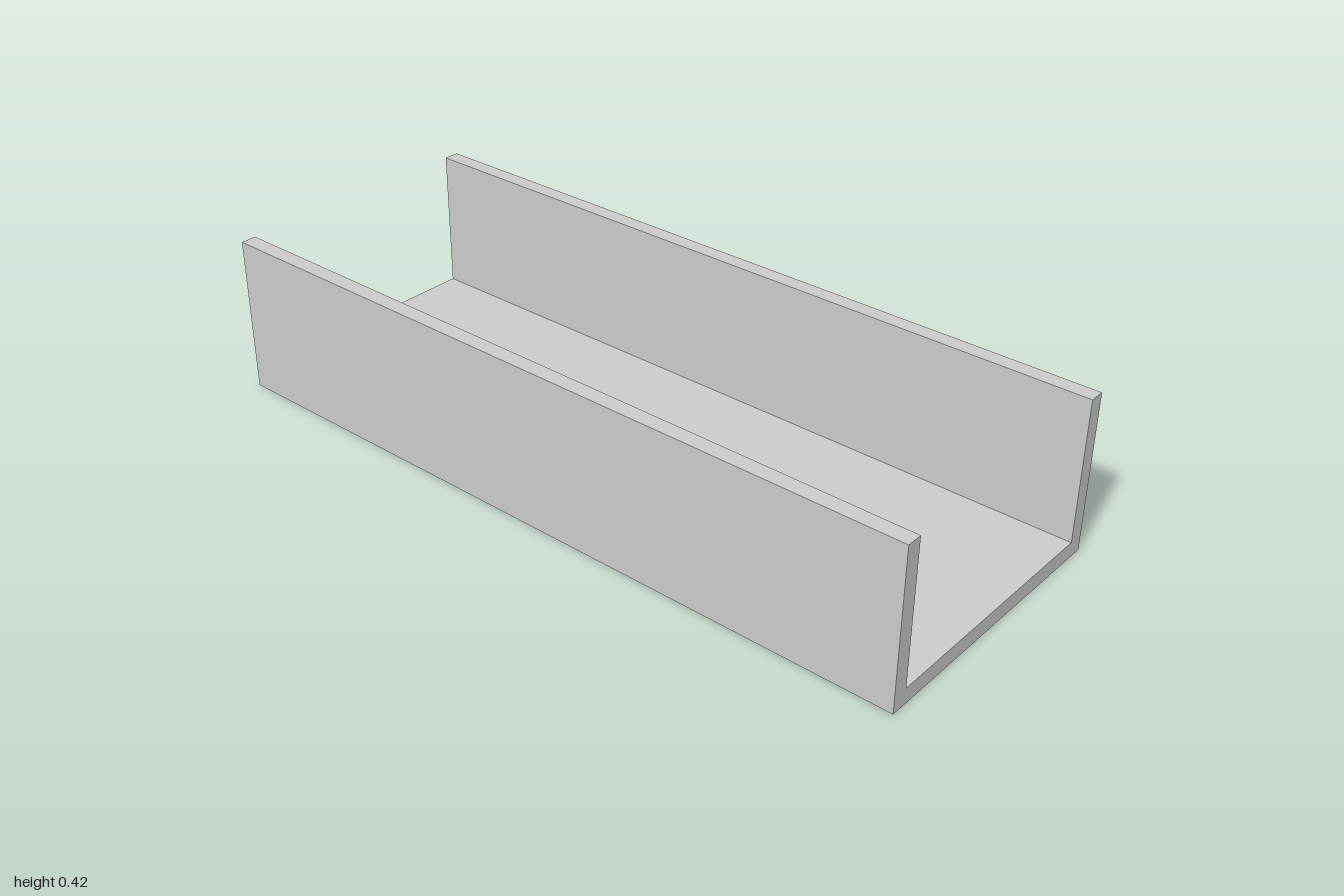
import * as THREE from 'three';

const LENGTH = 2, WIDTH = 0.75, HEIGHT = 0.4167, WALL = 0.0417;
const HOLE_RADIUS = 0.09, HOLE_Z = 0.458;

export function createModel() {
  const group = new THREE.Group();
  group.name = 'uChannel';
  const material = new THREE.MeshStandardMaterial({ color: 0xcccccc });

  // Base plate with two round mounting holes, extruded upwards
  const w = WIDTH / 2 - WALL, l = LENGTH / 2;
  const plate = new THREE.Shape([
    new THREE.Vector2(-w, -l), new THREE.Vector2(w, -l),
    new THREE.Vector2(w, l), new THREE.Vector2(-w, l),
  ]);
  for (const z of [-HOLE_Z, HOLE_Z]) {
    plate.holes.push(new THREE.Path().absarc(0, z, HOLE_RADIUS, 0, Math.PI * 2, true));
  }
  const plateGeometry = new THREE.ExtrudeGeometry(plate, {
    depth: WALL, bevelEnabled: false, curveSegments: 32,
  }).rotateX(-Math.PI / 2);
  const base = new THREE.Mesh(plateGeometry, material);
  base.name = 'basePlate';
  group.add(base);

  // Upright side walls along both long edges
  const wallGeometry = new THREE.BoxGeometry(WALL, HEIGHT, LENGTH);
  for (const side of [-1, 1]) {
    const wall = new THREE.Mesh(wallGeometry, material);
    wall.name = side > 0 ? 'leftWall' : 'rightWall';
    wall.position.set(side * (WIDTH - WALL) / 2, HEIGHT / 2, 0);
    group.add(wall);
  }
  return group;
}
